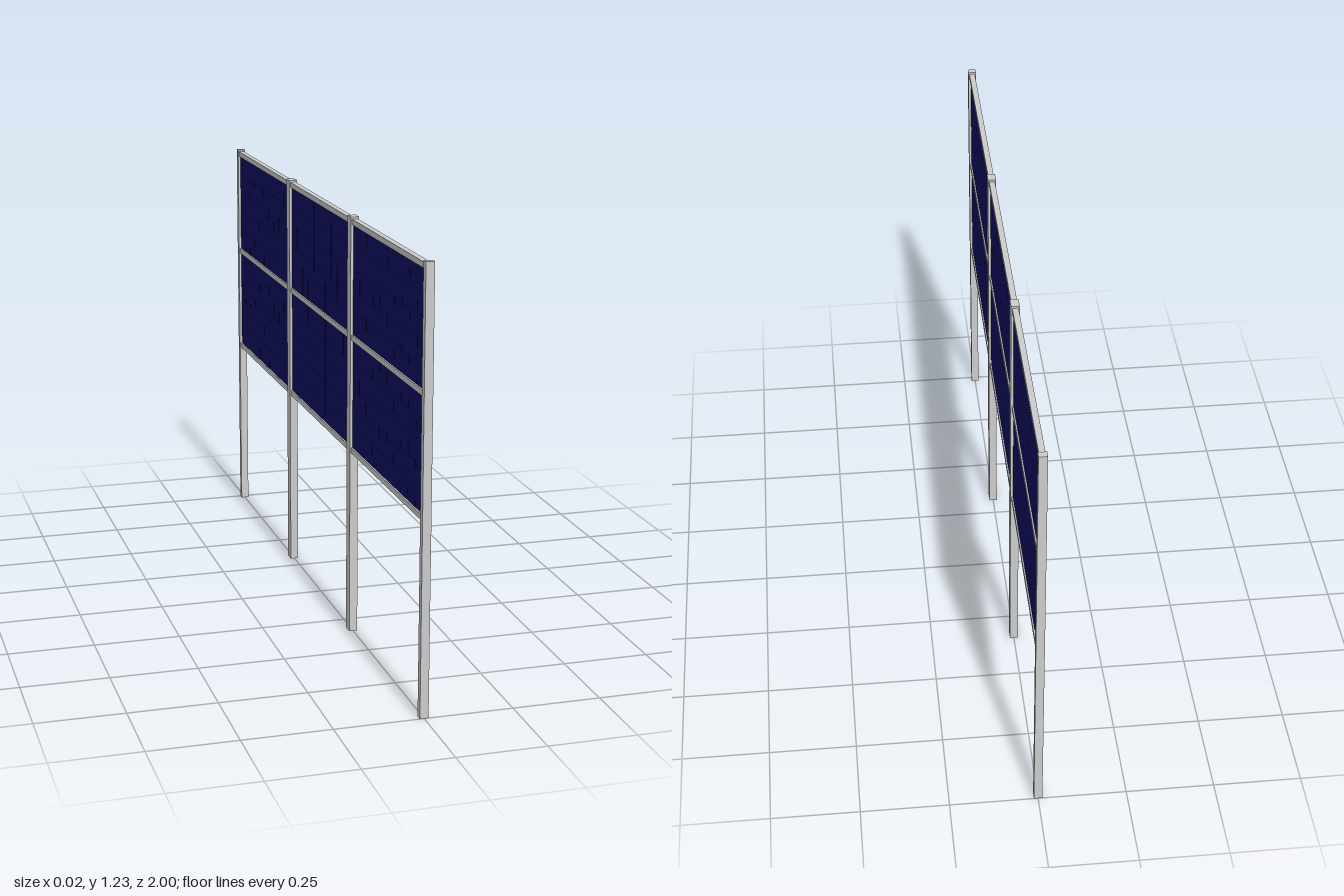
import * as THREE from 'three';

const metal = new THREE.MeshStandardMaterial({ color: 0xcccccc });
const blue = new THREE.MeshStandardMaterial({ color: 0x111061 });

function box(parent, name, material, size, pos) {
  const mesh = new THREE.Mesh(new THREE.BoxGeometry(...size), material);
  mesh.name = name;
  mesh.position.set(...pos);
  parent.add(mesh);
}

export function createModel() {
  const model = new THREE.Group();
  model.name = 'verticalSolarFence';

  // Posts: slim at the ends, wider between bays
  const height = 1.23, endW = 0.02, midW = 0.034;
  const posts = [[-0.99, endW], [-0.33, midW], [0.33, midW], [0.99, endW]];
  for (const [z, w] of posts) box(model, 'post', metal, [0.024, height, w], [0, height / 2, z]);

  const rails = [0.553, 0.885, 1.216], railH = 0.016, railD = 0.017;
  const columns = 10, rows = 5, panelD = 0.009, seam = 0.0008;

  for (let b = 0; b < 3; b++) {
    const z0 = posts[b][0] + posts[b][1] / 2;
    const z1 = posts[b + 1][0] - posts[b + 1][1] / 2;
    const length = z1 - z0, zc = (z0 + z1) / 2;
    const bay = new THREE.Group();
    bay.name = 'bay';
    model.add(bay);

    // Horizontal rails between the posts
    for (const y of rails) box(bay, 'rail', metal, [railD, railH, length], [0, y, zc]);

    // Two stacked two-sided panels, each a backing sheet with a grid of cells
    for (let r = 0; r < 2; r++) {
      const y0 = rails[r] + railH / 2, y1 = rails[r + 1] - railH / 2;
      const panel = new THREE.Group();
      panel.name = 'panel';
      panel.position.set(0, (y0 + y1) / 2, zc);
      bay.add(panel);
      const cw = length / columns, ch = (y1 - y0) / rows;
      box(panel, 'backingSheet', blue, [panelD - 0.001, y1 - y0, length], [0, 0, 0]);
      for (let i = 0; i < columns; i++) {
        for (let j = 0; j < rows; j++) {
          box(panel, 'cell', blue, [panelD, ch - seam, cw - seam],
            [0, (j + 0.5 - rows / 2) * ch, (i + 0.5 - columns / 2) * cw]);
        }
      }
    }
  }
  return model;
}
